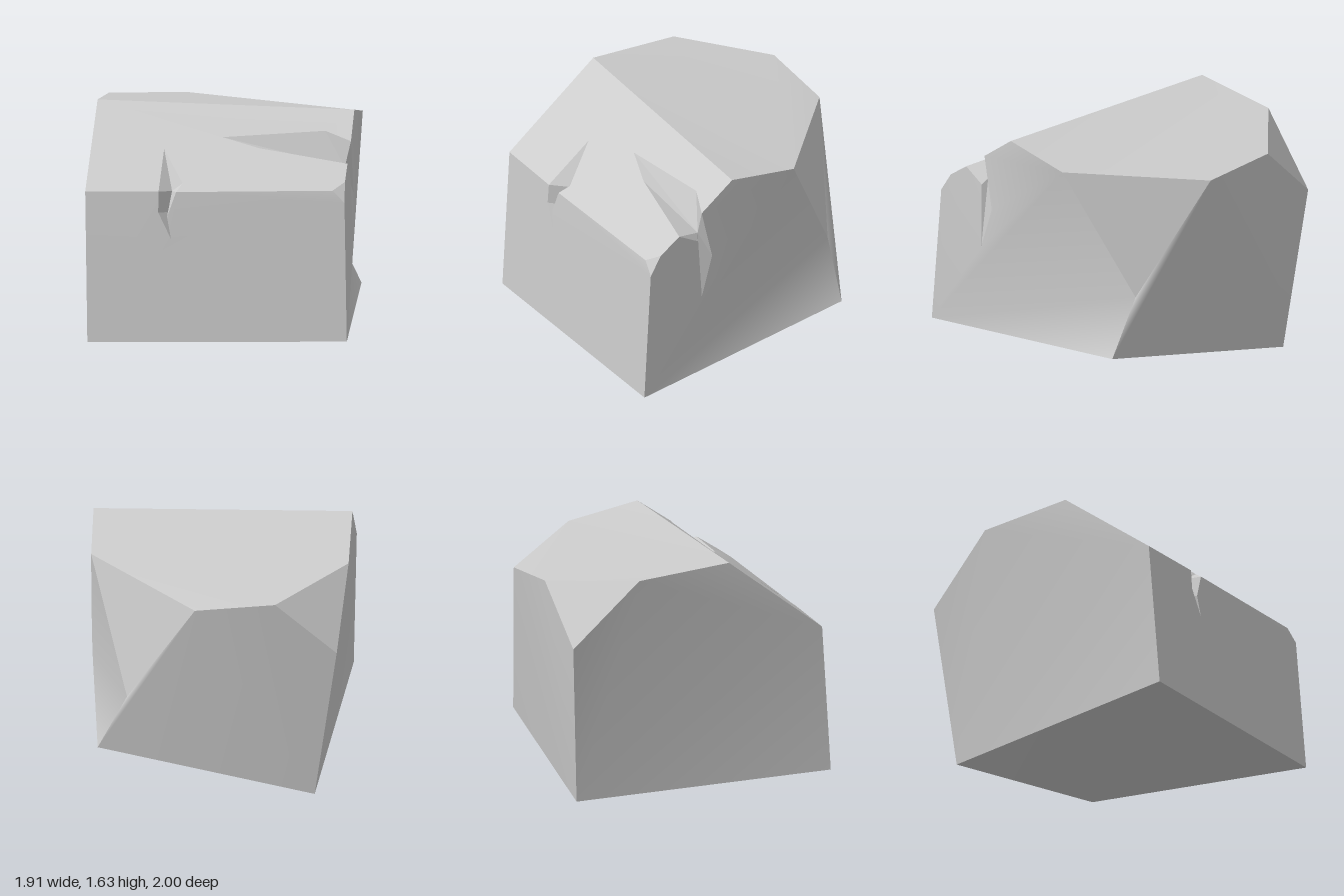
import * as THREE from 'three';
import { mergeVertices } from 'three/addons/utils/BufferGeometryUtils.js';

// Corners of the block and of the cracks, grouped by part
const P = {
  // base
  baseFL: [-0.81, 0.09, 0.995], baseFR: [0.955, 0.13, 0.85],
  baseBR: [0.70, 0.26, -0.80], baseBL: [-0.78, 0, -0.79],
  // crown
  topL: [-0.90, 1.63, 0.25], topR: [0.85, 1.60, 0.12],
  topBR: [0.80, 1.51, -0.38], topB: [0.01, 1.45, -1.0],
  // chipped back corners
  chipR: [0.50, 0.66, -0.80],
  chipTop: [-0.53, 1.50, -0.94], chipSide: [-0.96, 1.57, -0.40], chipLow: [-0.94, 1.12, -0.86],
  // front brow and its small bevelled corner
  browL: [-0.84, 1.11, 0.925], browR: [0.84, 1.15, 0.78],
  bevelLow: [0.925, 1.07, 0.785], bevelBack: [0.91, 1.20, 0.70],
  // wedge crack running over the right edge
  w0: [0, 1.43, 0.42], w1: [0.69, 1.48, 0.31], w2: [0.88, 1.425, 0.37],
  w3: [0.27, 1.375, 0.49], w4: [0.895, 1.30, 0.55],
  wSide: [0.88, 1.06, 0.29], wTip: [0.90, 0.77, 0.38], wLow: [0.88, 1.21, 0.40], wDeep: [0.84, 1.25, 0.38],
  // small crack over the front brow
  c0: [-0.37, 1.36, 0.57], cL: [-0.34, 1.12, 0.89], cLow: [-0.34, 0.98, 0.90],
  cTip: [-0.25, 0.80, 0.905], cIn: [-0.28, 0.95, 0.895], cR: [-0.22, 1.12, 0.88], cUp: [-0.19, 1.17, 0.81],
  cDeep: [-0.27, 1.11, 0.78], cDeep2: [-0.29, 0.97, 0.82],
};

// Smoothly bent faces: polygons with corners counter-clockwise from outside
const faces = {
  topFace: ['topL topR topBR topB chipTop chipSide'],
  frontSlope: [
    'topL browL cL c0 cUp cR browR w3 w0',
    'browR bevelBack w4 w3', 'topL w0 w1 topR', 'w1 w2 topR',
  ],
  frontFace: ['baseFL baseFR bevelLow browR cR cIn cTip cLow cL browL'],
  cornerBevel: ['browR bevelLow bevelBack'],
  rightFace: [
    'baseFR topBR topR w2 wSide wTip wLow w4 bevelBack bevelLow',
    'baseFR chipR topBR', 'baseFR baseBR chipR',
  ],
  backFace: ['baseBR baseBL topB', 'baseBL chipLow chipTop topB', 'baseBR topB chipR'],
  leftFace: ['baseBL baseFL browL topL chipSide chipLow'],
  backRightChip: ['chipR topB topBR'],
  backLeftChip: ['chipLow chipSide chipTop'],
  underside: ['baseFL baseBL baseBR', 'baseFL baseBR baseFR'],
};

// Sharp facets inside the cracks
const cracks = {
  wedgeCrack: [
    'w0 w3 wDeep', 'w3 w4 wDeep', 'w4 wLow wDeep', 'w0 wDeep w1', 'wDeep w2 w1',
    'wTip wSide wDeep', 'wSide w2 wDeep', 'wLow wTip wDeep',
  ],
  browCrack: [
    'c0 cL cDeep', 'cL cLow cDeep2 cDeep', 'cLow cTip cDeep2', 'cTip cIn cDeep2',
    'cIn cR cDeep cDeep2', 'cR cUp cDeep', 'cUp c0 cDeep',
  ],
};

// Triangulates a near-flat polygon in its own plane
function triangulate(names) {
  const pts = names.split(' ').map((n) => new THREE.Vector3(...P[n]));
  const normal = new THREE.Vector3();
  pts.forEach((p, i) => normal.add(p.clone().cross(pts[(i + 1) % pts.length])));
  normal.normalize();
  const u = new THREE.Vector3(0, 1, 0);
  if (Math.abs(normal.y) > 0.8) u.set(1, 0, 0);
  u.cross(normal).normalize();
  const v = normal.clone().cross(u);
  const flat = pts.map((p) => new THREE.Vector2(p.dot(u), p.dot(v)));
  const out = [];
  for (const [a, b, c] of THREE.ShapeUtils.triangulateShape(flat, [])) {
    const ab = flat[b].clone().sub(flat[a]);
    const ac = flat[c].clone().sub(flat[a]);
    const order = ab.cross(ac) > 0 ? [a, b, c] : [a, c, b];
    for (const i of order) out.push(...pts[i].toArray());
  }
  return out;
}

// Adds one mesh per part; smooth parts share normals across their polygons
function addParts(group, parts, smooth) {
  const stone = new THREE.MeshStandardMaterial({ color: 0xcccccc, flatShading: !smooth });
  for (const [name, polygons] of Object.entries(parts)) {
    let geometry = new THREE.BufferGeometry();
    geometry.setAttribute('position', new THREE.Float32BufferAttribute(polygons.flatMap(triangulate), 3));
    if (smooth) geometry = mergeVertices(geometry);
    geometry.computeVertexNormals();
    const mesh = new THREE.Mesh(geometry, stone);
    mesh.name = name;
    group.add(mesh);
  }
}

export function createModel() {
  const rock = new THREE.Group();
  rock.name = 'rock';
  addParts(rock, faces, true);
  addParts(rock, cracks, false);
  return rock;
}
